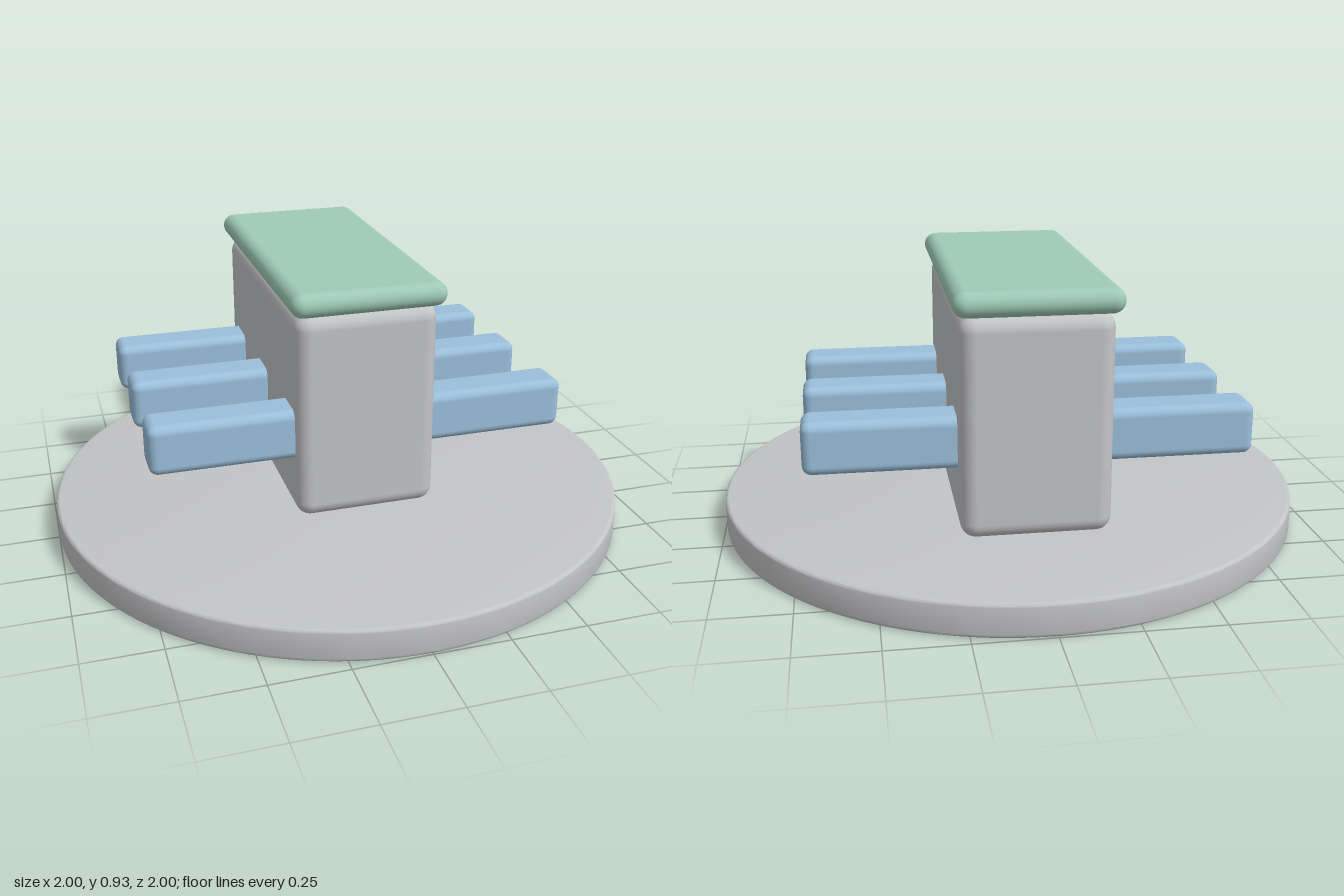
import * as THREE from 'three';
import { toCreasedNormals } from 'three/addons/utils/BufferGeometryUtils.js';
import { RoundedBoxGeometry } from 'three/addons/geometries/RoundedBoxGeometry.js';

const material = (name, color) => {
  const m = new THREE.MeshStandardMaterial({ color });
  m.name = name;
  return m;
};

export function createModel() {
  const grey = material('grey', 0xc3c4c6);
  const blue = material('blue', 0x9abfdb);
  const green = material('green', 0x9ecab6);
  const group = new THREE.Group();

  const add = (name, geometry, mat, x, y, z) => {
    const mesh = new THREE.Mesh(geometry, mat);
    mesh.name = name;
    mesh.position.set(x, y, z);
    group.add(mesh);
    return mesh;
  };

  // Round base with softly bevelled rims
  const bevel = 0.012, height = 0.11;
  const disc = new THREE.Shape().absarc(0, 0, 1 - bevel, 0, Math.PI * 2);
  const baseGeometry = new THREE.ExtrudeGeometry(disc, {
    depth: height - 2 * bevel,
    bevelSize: bevel,
    bevelThickness: bevel,
    bevelSegments: 4,
    curveSegments: 64,
  });
  baseGeometry.rotateX(-Math.PI / 2);
  add('base', toCreasedNormals(baseGeometry, Math.PI / 6), grey, 0, bevel, 0);

  // Upright block floating just above the base, set back from the centre
  const centreZ = -0.135;
  add('body', new RoundedBoxGeometry(0.475, 0.705, 1.02, 5, 0.05), grey, 0, 0.4975, centreZ);

  // Thin overhanging lid with fully rounded edges
  add('lid', new RoundedBoxGeometry(0.515, 0.08, 1.085, 5, 0.04), green, 0, 0.89, centreZ);

  // Three bars passing through the body from side to side
  for (const z of [0.257, -0.12, -0.48]) {
    add('crossBar', new RoundedBoxGeometry(1.425, 0.17, 0.148, 4, 0.03), blue, 0, 0.433, z);
  }

  return group;
}
